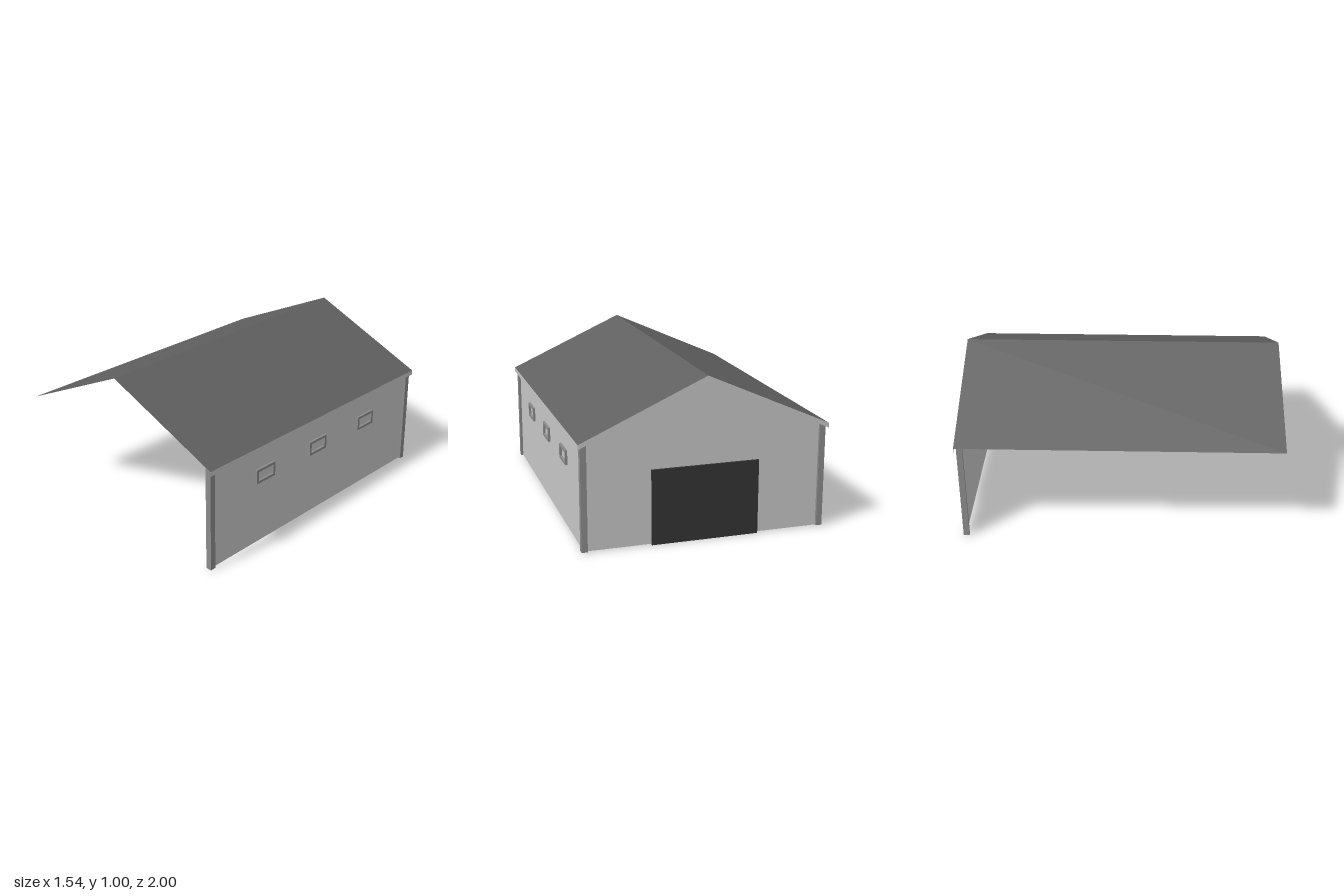
import * as THREE from 'three';

const W = 0.77, EAVE = 0.66, RIDGE = 1.005;   // roof half width and heights
const WX = 0.74, WZ = 0.97, BASE = 0.005;     // wall faces and wall foot
const roofY = (x) => RIDGE - (RIDGE - EAVE) * Math.abs(x) / W;

function flat(name, hex, side = THREE.DoubleSide) {
  const m = new THREE.MeshStandardMaterial({ color: hex, side });
  m.name = name;
  return m;
}

function polygon(points) {
  return new THREE.Shape(points.map(([x, y]) => new THREE.Vector2(x, y)));
}

export function createModel() {
  const wall = flat('wallGrey', 0xc8c8c8);
  const trim = flat('trimGrey', 0x8c8c8c);
  const roof = flat('roofGrey', 0x606060);
  const dark = flat('doorCharcoal', 0x353535);
  const model = new THREE.Group();
  model.name = 'openShed';

  const add = (name, geometry, material, parent = model) => {
    const mesh = new THREE.Mesh(geometry, material);
    mesh.name = name;
    parent.add(mesh);
    return mesh;
  };

  // Thin roof slopes, mirrored about the ridge
  const run = Math.hypot(W, RIDGE - EAVE);
  const tilt = Math.atan2(RIDGE - EAVE, W);
  for (const s of [1, -1]) {
    const slope = new THREE.PlaneGeometry(run, 2).rotateX(-Math.PI / 2).rotateZ(-s * tilt);
    add(s > 0 ? 'leftRoofSlope' : 'rightRoofSlope', slope, roof)
      .position.set(s * W / 2, (RIDGE + EAVE) / 2, 0);
  }

  // Back gable wall, facing -z
  const gable = polygon([
    [-WX, BASE], [WX, BASE], [WX, roofY(WX) - 0.004], [0, RIDGE - 0.004], [-WX, roofY(WX) - 0.004],
  ]);
  add('backGableWall', new THREE.ShapeGeometry(gable).rotateY(Math.PI), wall).position.z = -WZ;

  // Side wall, facing +x
  const sideTop = roofY(WX) - 0.004;
  add('sideWall', new THREE.PlaneGeometry(2 * WZ, sideTop - BASE).rotateY(Math.PI / 2), wall)
    .position.set(WX, (sideTop + BASE) / 2, 0);

  // Fascia boards below the back rake and the side eave
  const drop = 0.03;
  const rake = polygon([
    [-W, EAVE - drop], [0, RIDGE - drop], [W, EAVE - drop], [W, EAVE], [0, RIDGE], [-W, EAVE],
  ]);
  add('backFascia', new THREE.ShapeGeometry(rake).rotateY(Math.PI), wall).position.z = -1;
  add('eaveFascia', new THREE.PlaneGeometry(2, drop).rotateY(Math.PI / 2), wall)
    .position.set(W, EAVE - drop / 2, 0);

  // L-shaped corner trims: one leg on each face of the corner
  const leg = 0.037, thick = 0.016;
  const cornerTrim = (name, sx, sz) => {
    const group = new THREE.Group();
    group.name = name;
    const outX = WX + thick, outZ = WZ + thick;
    const face = polygon([
      [sx * (outX - leg), BASE], [sx * outX, BASE],
      [sx * outX, roofY(outX) - 0.017], [sx * (outX - leg), roofY(outX - leg) - 0.017],
    ]);
    add('endLeg', new THREE.ExtrudeGeometry(face, { depth: thick, bevelEnabled: false }), trim, group)
      .position.z = sz > 0 ? WZ : -outZ;
    const h = roofY(outX) - 0.017 - BASE;
    add('sideLeg', new THREE.BoxGeometry(thick, h, leg - thick), trim, group)
      .position.set(sx * (WX + thick / 2), BASE + h / 2, sz * (WZ - (leg - thick) / 2));
    model.add(group);
  };
  cornerTrim('frontLeftCornerTrim', 1, 1);
  cornerTrim('backLeftCornerTrim', 1, -1);
  cornerTrim('backRightCornerTrim', -1, -1);

  // Window frames along the side wall
  const rect = (w, h) => [[-w, -h], [w, -h], [w, h], [-w, h]];
  const frame = polygon(rect(0.083, 0.046));
  frame.holes.push(polygon(rect(0.066, 0.03)));
  const frameGeometry = new THREE.ExtrudeGeometry(frame, { depth: 0.014, bevelEnabled: false })
    .rotateY(Math.PI / 2);
  for (const z of [0.5, 0, -0.5]) {
    add('windowFrame', frameGeometry, trim).position.set(WX, 0.455, z);
  }

  // Large door on the back gable
  add('backDoor', new THREE.BoxGeometry(0.665, 0.465, 0.012), dark)
    .position.set(0, 0.2325, -WZ - 0.0075);

  return model;
}
